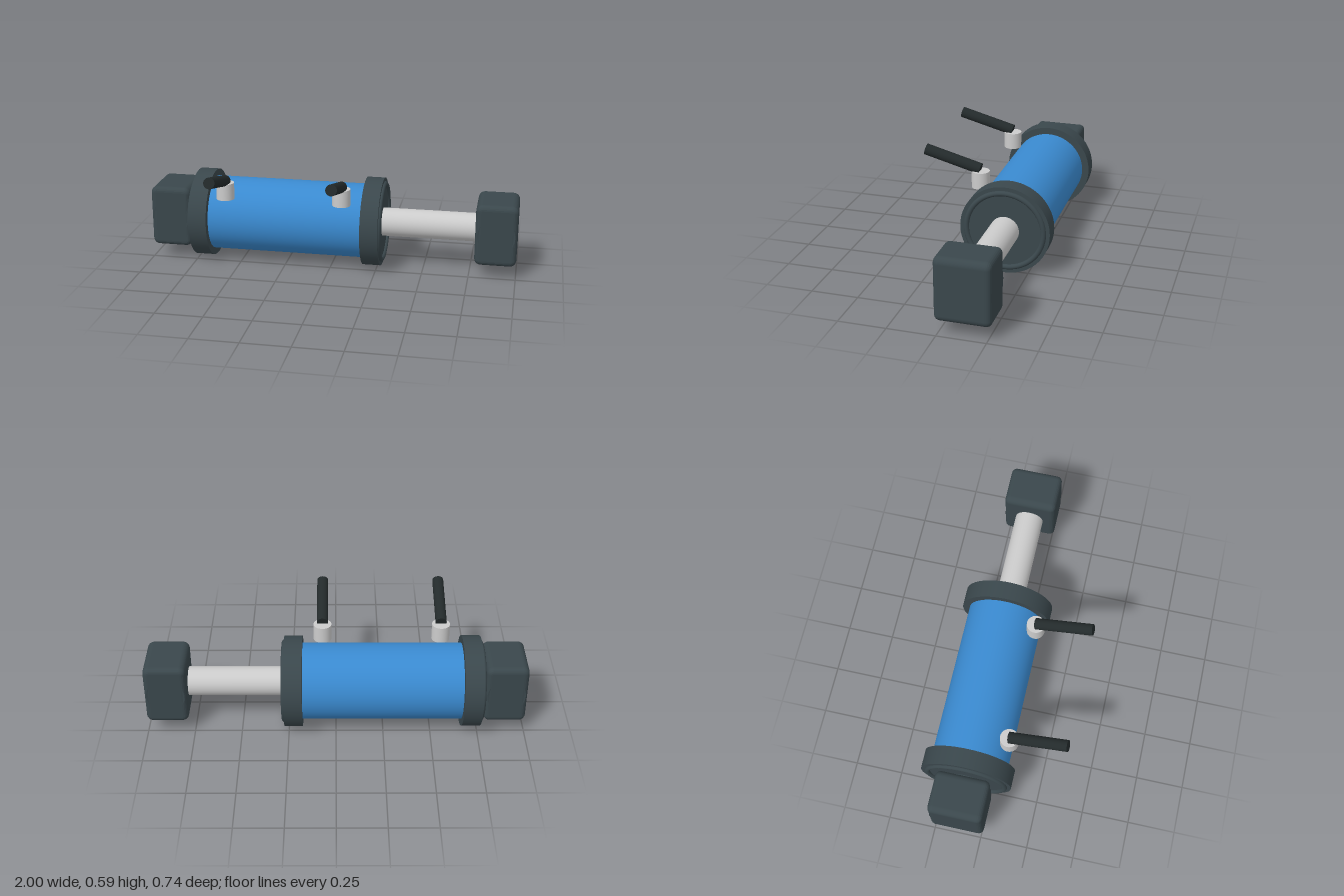
import * as THREE from 'three';

const AXIS_Y = 0.24, AXIS_Z = -0.128;
const material = (color, side = THREE.FrontSide) => new THREE.MeshStandardMaterial({ color, side });

function add(parent, name, geometry, mat, x = 0, y = 0, z = 0) {
  const mesh = new THREE.Mesh(geometry, mat);
  mesh.name = name;
  mesh.position.set(x, y, z);
  parent.add(mesh);
  return mesh;
}

// Cylinder lying along x between two stations
function bar(radius, x0, x1, segments = 64) {
  return new THREE.CylinderGeometry(radius, radius, x1 - x0, segments)
    .rotateZ(Math.PI / 2).translate((x0 + x1) / 2, 0, 0);
}

// Rounded block with a bevelled cross hole along z
function eyeGeometry(width, height, depth, bevel, hole) {
  const w = width / 2 - bevel, h = height / 2 - bevel, r = 0.008;
  const shape = new THREE.Shape();
  shape.moveTo(-w + r, -h);
  shape.lineTo(w - r, -h);
  shape.quadraticCurveTo(w, -h, w, -h + r);
  shape.lineTo(w, h - r);
  shape.quadraticCurveTo(w, h, w - r, h);
  shape.lineTo(-w + r, h);
  shape.quadraticCurveTo(-w, h, -w, h - r);
  shape.lineTo(-w, -h + r);
  shape.quadraticCurveTo(-w, -h, -w + r, -h);
  const path = new THREE.Path();
  path.absarc(0, 0, hole + bevel, 0, Math.PI * 2, true);
  shape.holes.push(path);
  return new THREE.ExtrudeGeometry(shape, {
    depth: depth - 2 * bevel, bevelThickness: bevel, bevelSize: bevel,
    bevelSegments: 5, curveSegments: 24,
  }).translate(0, 0, -depth / 2 + bevel);
}

export function createModel() {
  const model = new THREE.Group();
  model.name = 'hydraulicCylinder';
  const blue = material(0x3a8ad0);
  const dark = material(0x3a474c);
  const darkThin = material(0x3a474c, THREE.DoubleSide);
  const black = material(0x232a2b);
  const grey = material(0xcccccc);

  // Everything that is coaxial with the barrel
  const body = new THREE.Group();
  body.name = 'body';
  body.position.set(0, AXIS_Y, AXIS_Z);
  model.add(body);

  add(body, 'barrel', bar(0.202, -0.68, 0.2), blue);
  add(body, 'pistonRod', bar(0.077, 0.25, 0.8, 48), grey);
  add(body, 'rearMount', bar(0.077, -0.8, -0.74, 48), dark);

  // End caps with a raised bead on the outer face
  for (const [name, x0, x1, face] of [['rear', -0.76, -0.662, -0.76], ['front', 0.176, 0.272, 0.272]]) {
    add(body, name + 'Cap', bar(0.24, x0, x1, 72), dark);
    add(body, name + 'CapBead', new THREE.TorusGeometry(0.206, 0.014, 14, 72).rotateY(Math.PI / 2), dark, face);
  }

  // Mounting eyes, half closed at the back
  const eye = eyeGeometry(0.222, 0.335, 0.284, 0.028, 0.072);
  const web = new THREE.CircleGeometry(0.1, 32, Math.PI, Math.PI);
  for (const [name, x] of [['rear', -0.889], ['front', 0.889]]) {
    add(body, name + 'Eye', eye, dark, x);
    add(body, name + 'EyeWeb', web, darkThin, x, 0, -0.141);
  }

  // Ports with hoses sloping up and forward
  const start = new THREE.Vector3(0, 0.485, 0.061);
  const end = new THREE.Vector3(0, 0.565, 0.363);
  const direction = end.clone().sub(start);
  const hose = new THREE.CylinderGeometry(0.03, 0.03, direction.length(), 32);
  const port = new THREE.CylinderGeometry(0.048, 0.048, 0.09, 32);
  const middle = start.clone().add(end).multiplyScalar(0.5);
  for (const [name, x] of [['rear', -0.56], ['front', 0.072]]) {
    add(model, name + 'Port', port, grey, x, 0.43, 0.061);
    add(model, name + 'Hose', hose, black, x, middle.y, middle.z)
      .quaternion.setFromUnitVectors(new THREE.Vector3(0, 1, 0), direction.clone().normalize());
  }
  return model;
}
